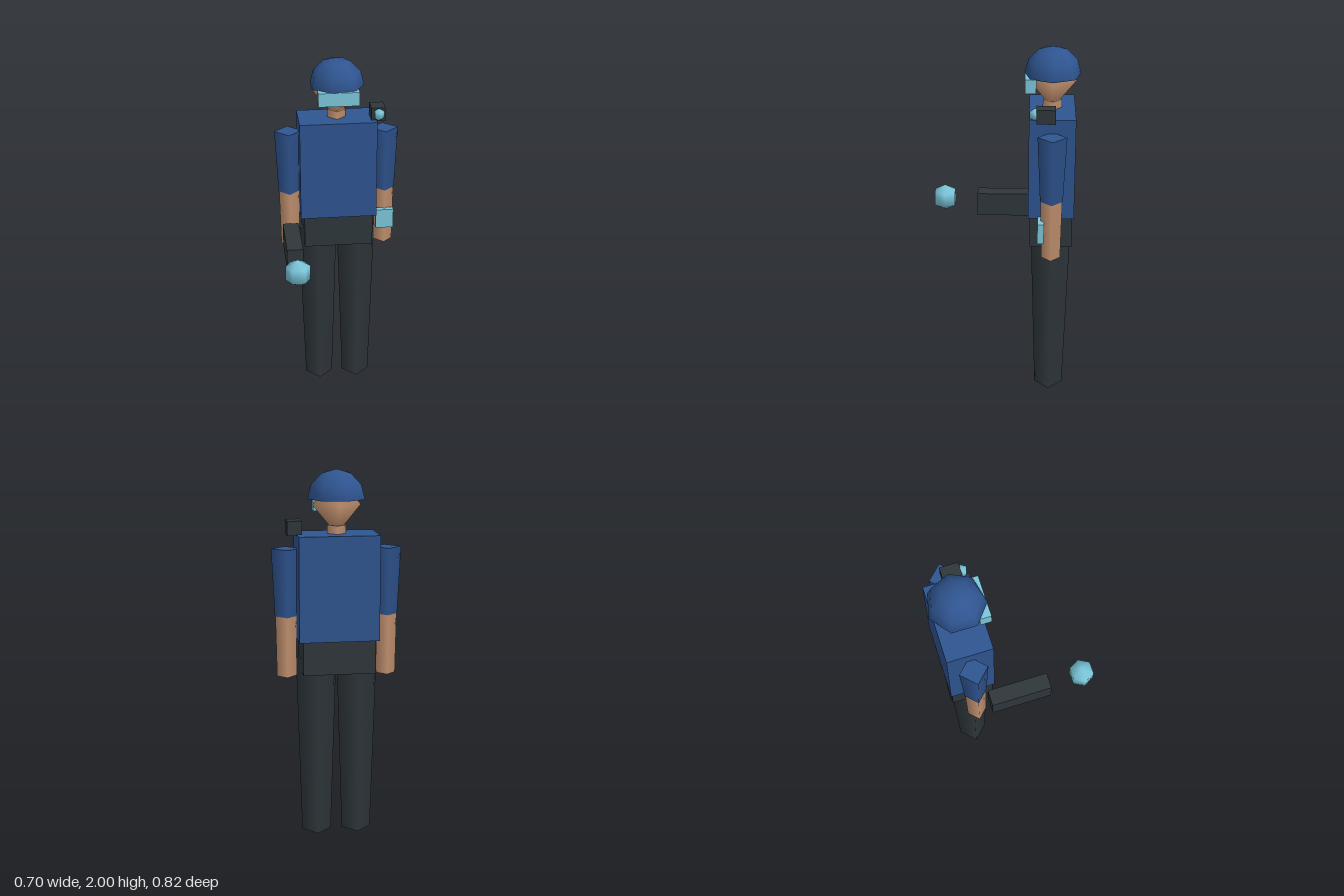
import * as THREE from 'three';

const mat = (name, color, side = THREE.FrontSide) => {
  const m = new THREE.MeshStandardMaterial({ color, side });
  m.name = name;
  return m;
};

export function createModel() {
  const blue = mat('uniform blue', 0x2f5591, THREE.DoubleSide);
  const dark = mat('charcoal', 0x2f373c);
  const cyan = mat('pale cyan', 0x7cc8dc);
  const skin = mat('skin', 0xc69472);

  const root = new THREE.Group();
  root.name = 'officer';
  const Z = -0.26; // depth of the body axis

  const add = (name, geometry, material, x, y, z) => {
    const mesh = new THREE.Mesh(geometry, material);
    mesh.name = name;
    mesh.position.set(x, y, z);
    root.add(mesh);
    return mesh;
  };
  const box = (name, material, w, h, d, x, y, z) =>
    add(name, new THREE.BoxGeometry(w, h, d), material, x, y, z);
  // four-sided tapered limb between two heights
  const limb = (name, material, rTop, rBottom, yTop, yBottom, x) =>
    add(name, new THREE.CylinderGeometry(rTop, rBottom, yTop - yBottom, 4),
      material, x, (yTop + yBottom) / 2, Z);

  // body
  box('torso', blue, 0.432, 0.565, 0.249, 0, 1.378, Z);
  box('hips', dark, 0.39, 0.18, 0.232, 0, 1.005, Z);

  // arms and legs
  for (const [side, s] of [['left', 1], ['right', -1]]) {
    limb(side + 'Leg', dark, 0.11, 0.08, 0.99, 0, s * 0.111);
    limb(side + 'Sleeve', blue, 0.078, 0.061, 1.585, 1.22, s * 0.272);
    limb(side + 'Forearm', skin, 0.058, 0.052, 1.22, 0.89, s * 0.272);
  }

  // neck, head, helmet and visor
  limb('neck', skin, 0.052, 0.052, 1.705, 1.65, 0);
  add('head', new THREE.SphereGeometry(0.13, 4, 2), skin, 0, 1.813, Z).scale.y = 1.22;
  add('helmet', new THREE.SphereGeometry(0.156, 7, 3, Math.PI, Math.PI * 2, 0, Math.PI / 2),
    blue, 0, 1.844, Z);
  box('visor', cyan, 0.228, 0.077, 0.06, 0, 1.808, -0.142);

  // shoulder camera
  box('cameraBody', dark, 0.078, 0.077, 0.102, 0.226, 1.692, -0.226);
  add('cameraLens', new THREE.SphereGeometry(0.035, 5, 3, Math.PI), cyan, 0.228, 1.695, -0.167);

  // wrist screen
  box('wristScreen', cyan, 0.102, 0.113, 0.035, 0.271, 1.05, -0.204);

  // hand-held emitter with a floating orb ahead of it
  box('emitter', dark, 0.09, 0.135, 0.342, -0.273, 0.982, -0.009);
  add('orb', new THREE.SphereGeometry(0.078, 6, 3), cyan, -0.273, 1.008, 0.353);

  return root;
}
